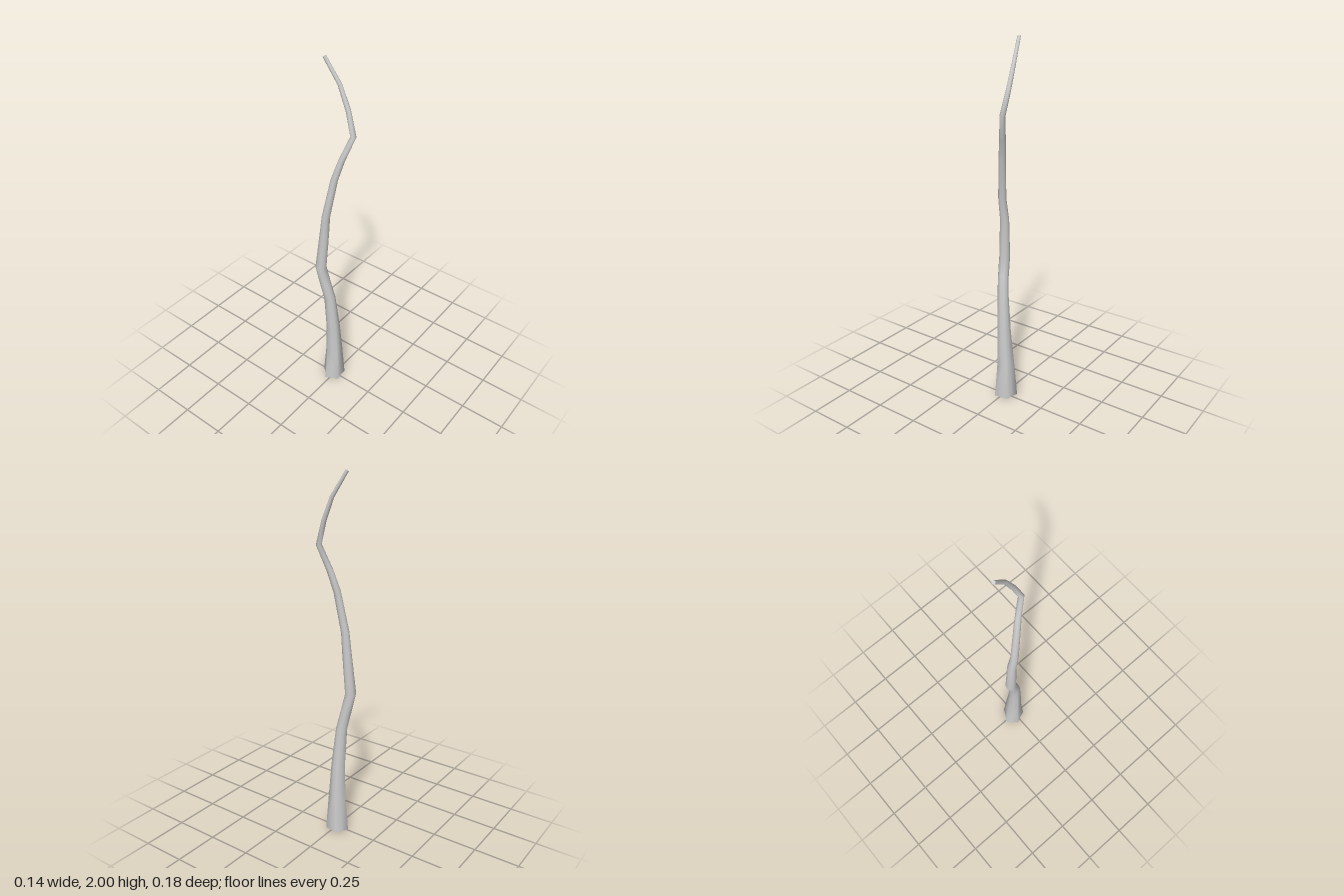
import * as THREE from 'three';

// Trunk sections from root to tip: [x, y, z, radius, lobe depth]
const SECTIONS = [
  [0.003, 0, -0.01, 0.059, 0.14],
  [0.003, 0.2, -0.008, 0.047, 0.08],
  [-0.007, 0.4, -0.007, 0.038, 0.04],
  [-0.021, 0.62, -0.018, 0.031, 0],
  [-0.033, 0.72, -0.038, 0.03, 0],
  [-0.041, 0.83, -0.062, 0.03, 0],
  [-0.03, 1.05, -0.045, 0.025, 0],
  [-0.034, 1.17, -0.03, 0.022, 0],
  [-0.01, 1.39, 0.005, 0.019, 0],
  [0.013, 1.5, 0.033, 0.017, 0],
  [0.044, 1.63, 0.078, 0.015, 0],
  [0.053, 1.75, 0.04, 0.013, 0],
  [0.05, 1.87, -0.008, 0.011, 0],
  [0.03, 1.995, -0.082, 0.009, 0],
];
const SIDES = 10;
const LOBE_ANGLE = -0.42; // direction of the first of five root lobes

// Ring of points across the path, tilted to follow it
function ring(i) {
  const [x, y, z, r, lobe] = SECTIONS[i];
  const centre = new THREE.Vector3(x, y, z);
  const at = (k) => new THREE.Vector3(...SECTIONS[k].slice(0, 3));
  const up = new THREE.Vector3(0, 1, 0);
  const last = SECTIONS.length - 1;
  const dir = i === 0 ? up.clone() : at(Math.min(i + 1, last)).sub(at(i - 1)).normalize();
  const tilt = new THREE.Quaternion().setFromUnitVectors(up, dir);
  return Array.from({ length: SIDES }, (_, j) => {
    const a = LOBE_ANGLE + (j / SIDES) * Math.PI * 2;
    const rad = r * (1 + lobe * Math.cos(5 * (a - LOBE_ANGLE)));
    return new THREE.Vector3(Math.cos(a) * rad, 0, Math.sin(a) * rad).applyQuaternion(tilt).add(centre);
  });
}

function buildGeometry(points, index) {
  const geometry = new THREE.BufferGeometry().setFromPoints(points);
  geometry.setIndex(index);
  geometry.computeVertexNormals();
  return geometry;
}

// Smooth skin joining consecutive rings
function skinGeometry(rings) {
  const index = [];
  for (let i = 0; i < rings.length - 1; i++) {
    for (let j = 0; j < SIDES; j++) {
      const k = (j + 1) % SIDES;
      const a = i * SIDES + j, b = i * SIDES + k;
      index.push(a, a + SIDES, b, b, a + SIDES, b + SIDES);
    }
  }
  return buildGeometry(rings.flat(), index);
}

// Flat fan closing one end
function capGeometry(points, facesUp) {
  const centre = new THREE.Vector3();
  points.forEach((p) => centre.addScaledVector(p, 1 / SIDES));
  const index = [];
  for (let j = 0; j < SIDES; j++) {
    const k = (j + 1) % SIDES;
    index.push(SIDES, facesUp ? k : j, facesUp ? j : k);
  }
  return buildGeometry([...points, centre], index);
}

export function createModel() {
  const group = new THREE.Group();
  group.name = 'crookedTrunk';
  const material = new THREE.MeshStandardMaterial({ color: 0xcccccc });
  const add = (name, geometry) => {
    const mesh = new THREE.Mesh(geometry, material);
    mesh.name = name;
    group.add(mesh);
  };
  const rings = SECTIONS.map((_, i) => ring(i));
  add('trunk', skinGeometry(rings));
  add('rootCap', capGeometry(rings[0], false));
  add('tipCap', capGeometry(rings[rings.length - 1], true));
  return group;
}
